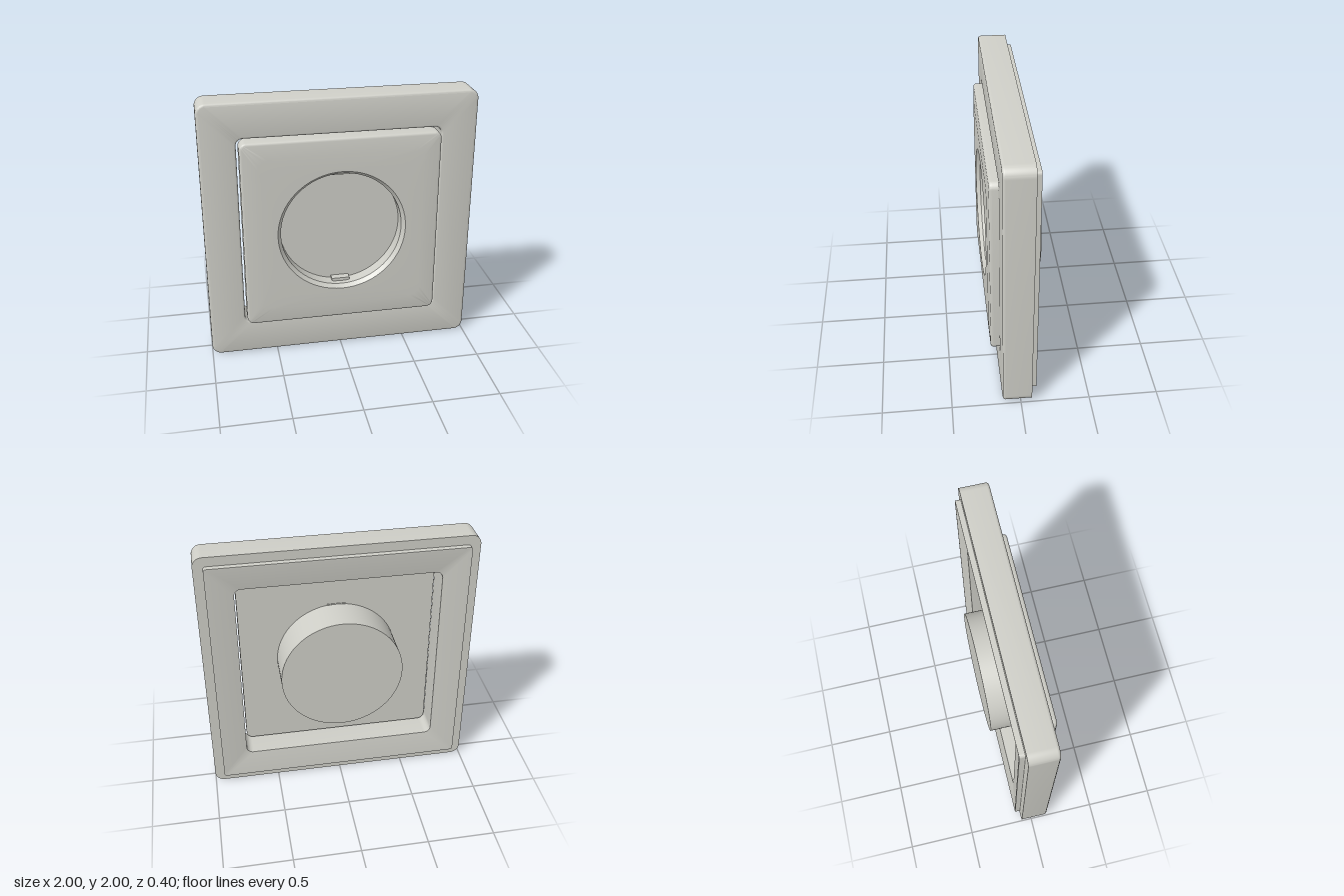
import * as THREE from 'three';
import { toCreasedNormals } from 'three/addons/utils/BufferGeometryUtils.js';

const CORNER_STEPS = 16;

// One rounded-square section (a circle when radius equals half), counter-clockwise from the front
function section([half, radius, z]) {
  const points = [];
  for (let q = 0; q < 4; q++) {
    const mid = q * Math.PI / 2 + Math.PI / 4;
    const cx = Math.sign(Math.cos(mid)) * (half - radius);
    const cy = Math.sign(Math.sin(mid)) * (half - radius);
    for (let s = 0; s <= CORNER_STEPS; s++) {
      const a = (q + s / CORNER_STEPS) * Math.PI / 2;
      points.push([cx + radius * Math.cos(a), cy + radius * Math.sin(a), z]);
    }
  }
  return points;
}

// Skin a closed loop of sections: front face outwards, side backwards, back face inwards
function loftRing(profile) {
  const rings = profile.map(section);
  const positions = [];
  rings.forEach((ring, i) => {
    const next = rings[(i + 1) % rings.length];
    ring.forEach((a, j) => {
      const k = (j + 1) % ring.length;
      positions.push(...a, ...next[j], ...ring[k]);
      positions.push(...ring[k], ...next[j], ...next[k]);
    });
  });
  const geometry = new THREE.BufferGeometry();
  geometry.setAttribute('position', new THREE.Float32BufferAttribute(positions, 3));
  return toCreasedNormals(geometry, 0.55);
}

// Quarter-round from the front face into a side wall; dir +1 for outer, -1 for inner edges
function fillet(half, corner, z, size, dir) {
  const steps = [];
  for (let s = 0; s <= 4; s++) {
    const a = s / 4 * Math.PI / 2;
    const shift = dir * size * (1 - Math.sin(a));
    steps.push([half - shift, corner - shift, z - size * (1 - Math.cos(a))]);
  }
  return dir > 0 ? steps : steps.reverse();
}

export function createModel() {
  const model = new THREE.Group();
  const offWhite = new THREE.MeshStandardMaterial({ color: 0xcfcfc8 });
  offWhite.name = 'offWhite';

  const add = (name, geometry, x, y, z) => {
    const mesh = new THREE.Mesh(geometry, offWhite);
    mesh.name = name;
    mesh.position.set(x, y, z);
    model.add(mesh);
    return mesh;
  };

  // Outer frame with a rear lip and a shallow sloping back
  add('frame', loftRing([
    ...fillet(1, 0.07, 0.13, 0.02, 1),
    [1, 0.07, -0.08],
    [0.93, 0.02, -0.08],
    [0.93, 0.02, -0.12],
    [0.915, 0.015, -0.12],
    [0.738, 0.05, -0.09],
    ...fillet(0.738, 0.05, 0.13, 0.014, -1),
  ]), 0, 1, 0);

  // Slightly cushioned cover plate with a round, flared opening
  add('coverPlate', loftRing([
    [0.45, 0.45, 0.075],
    [0.45, 0.45, 0.17],
    [0.475, 0.475, 0.2],
    [0.6, 0.1, 0.2],
    ...fillet(0.723, 0.05, 0.192, 0.02, 1),
    [0.723, 0.05, 0.075],
  ]), 0, 1, 0);

  // Round insert: its front is the floor of the recess, its rear stands out behind
  const insert = add('insert', new THREE.CylinderGeometry(0.45, 0.45, 0.275, 96), 0, 1, -0.0625);
  insert.rotation.x = Math.PI / 2;

  // Small retaining tabs at the top and bottom of the recess
  for (const [name, side] of [['topTab', 1], ['bottomTab', -1]]) {
    add(name, new THREE.BoxGeometry(0.135, 0.03, 0.06), 0, 1 + side * 0.44, 0.1);
  }
  return model;
}
